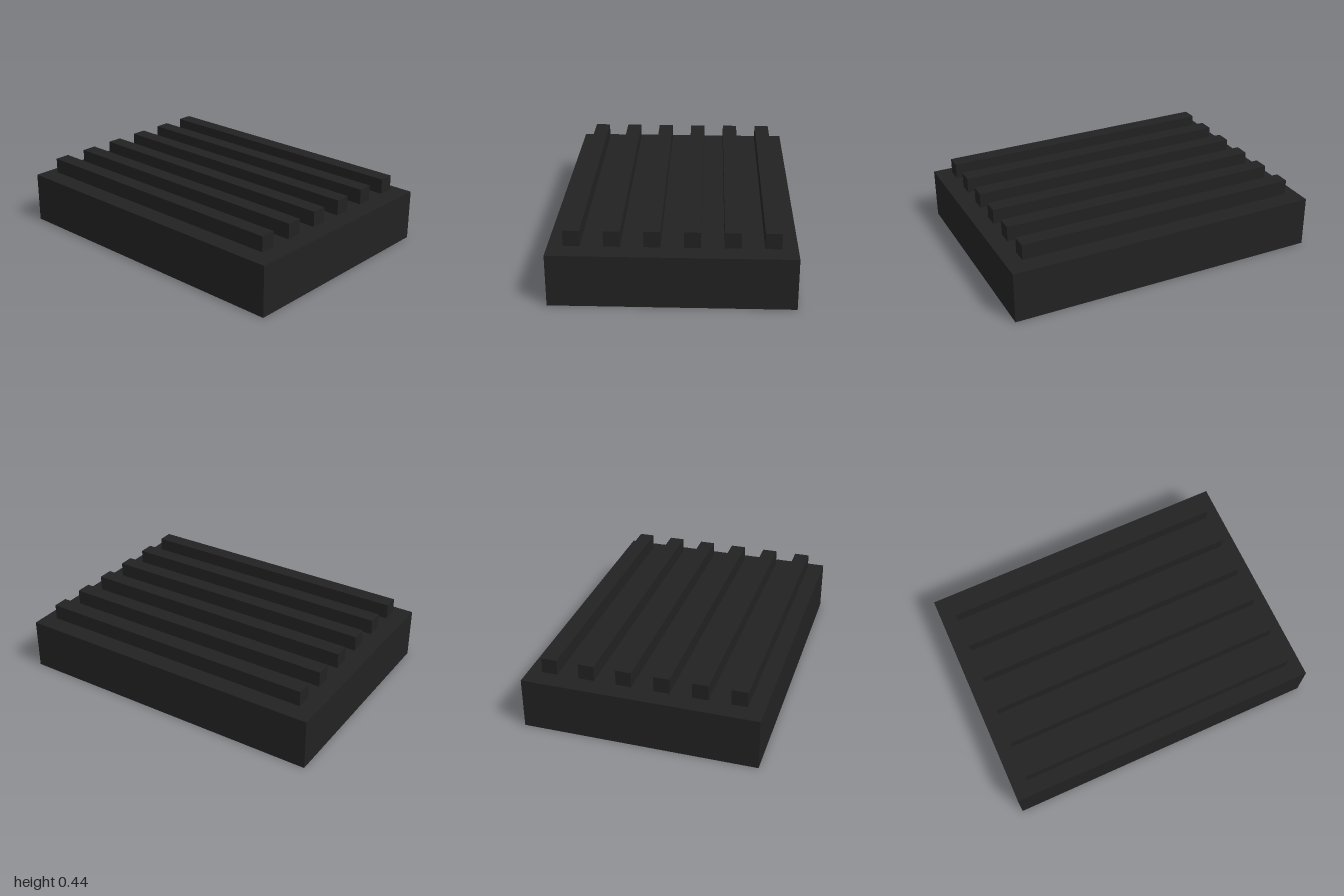
import * as THREE from 'three';

export function createModel() {
  const model = new THREE.Group();
  model.name = 'slattedBlock';
  const charcoal = new THREE.MeshStandardMaterial({ color: 0x222222 });
  charcoal.name = 'charcoal';

  // Solid rectangular base
  const baseHeight = 0.322;
  const base = new THREE.Mesh(new THREE.BoxGeometry(2, baseHeight, 1.449), charcoal);
  base.name = 'base';
  base.position.y = baseHeight / 2;
  model.add(base);

  // Six evenly spaced square bars floating just above the base
  const barCount = 6, barSize = 0.097, spacing = 0.232, gap = 0.016;
  const barGeometry = new THREE.BoxGeometry(1.806, barSize, barSize);
  const bars = new THREE.Group();
  bars.name = 'bars';
  for (let i = 0; i < barCount; i++) {
    const bar = new THREE.Mesh(barGeometry, charcoal);
    bar.name = `bar${i + 1}`;
    bar.position.set(0, baseHeight + gap + barSize / 2, (i - (barCount - 1) / 2) * spacing);
    bars.add(bar);
  }
  model.add(bars);

  return model;
}
